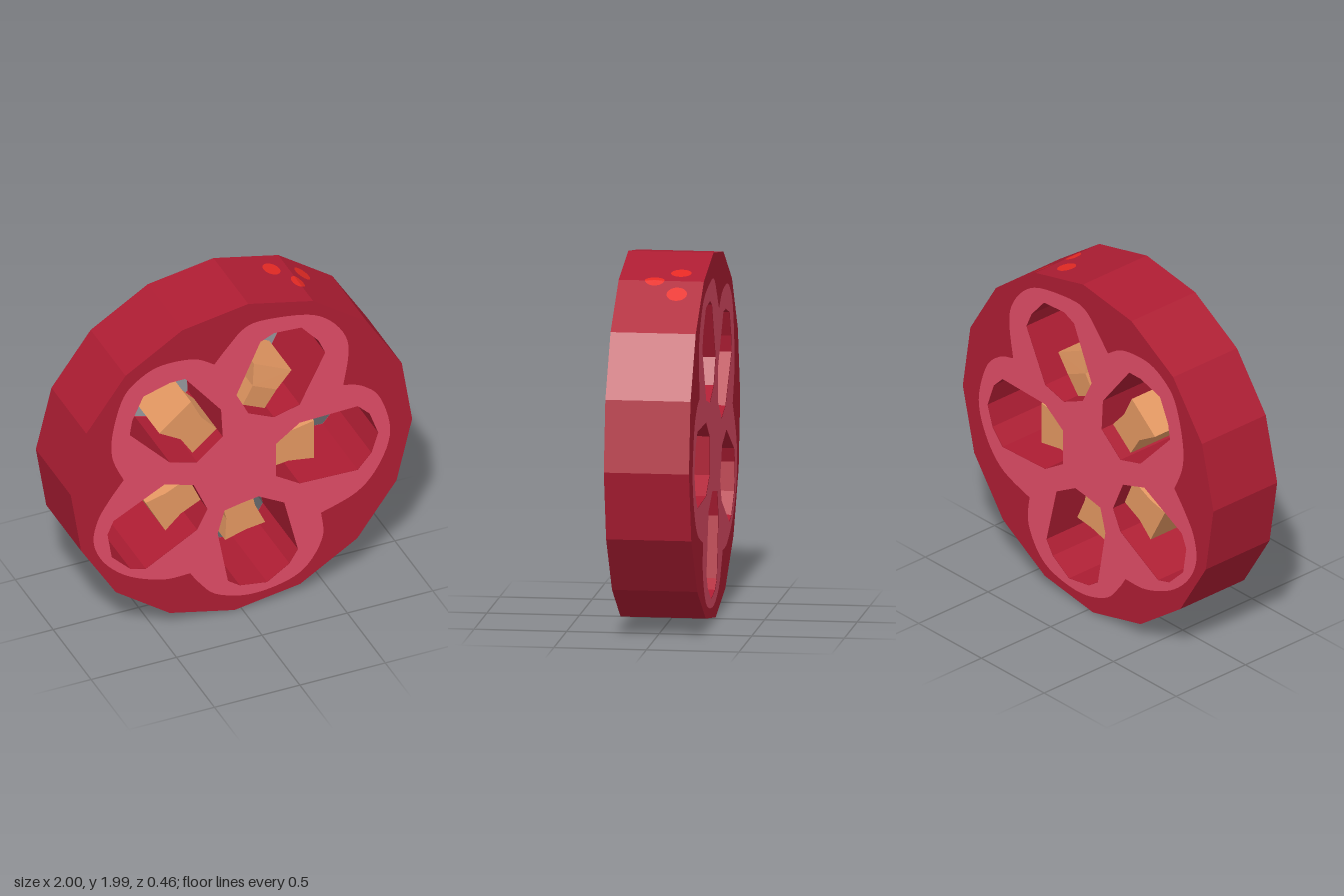
import * as THREE from 'three';

const HALF = 0.23; // half thickness of the slice

const toPoints = (flat) => {
  const out = [];
  for (let i = 0; i < flat.length; i += 2) out.push(new THREE.Vector2(flat[i], flat[i + 1]));
  return out;
};

// Seed chambers, as outlines in the front plane
const chambers = [
  [0.11, 1.73, 0.19, 1.765, 0.35, 1.755, 0.45, 1.64, 0.49, 1.55, 0.34, 1.25, 0.19, 1.21, 0.04, 1.28, -0.03, 1.42],
  [0.20, 1.03, 0.34, 1.13, 0.68, 1.14, 0.75, 1.07, 0.80, 0.93, 0.76, 0.81, 0.68, 0.72, 0.34, 0.73, 0.20, 0.82],
  [-0.10, 0.68, 0, 0.70, 0.10, 0.715, 0.25, 0.63, 0.33, 0.30, 0.28, 0.22, 0.15, 0.135, -0.01, 0.16, -0.08, 0.21, -0.14, 0.54],
  [-0.45, 0.955, -0.28, 0.90, -0.20, 0.72, -0.26, 0.60, -0.56, 0.43, -0.65, 0.455, -0.76, 0.565, -0.785, 0.72, -0.75, 0.80],
  [-0.42, 1.615, -0.33, 1.615, -0.12, 1.35, -0.11, 1.17, -0.26, 1.045, -0.42, 1.09, -0.655, 1.34, -0.64, 1.43, -0.575, 1.57],
].map(toPoints);

// Seeds: flared outer end, narrow waist, inner end
const seeds = [
  [0.11, 1.53, 0.33, 1.425, 0.235, 1.335, 0.17, 1.21, 0.04, 1.26, 0.095, 1.40],
  [0.46, 1.055, 0.46, 0.81, 0.31, 0.835, 0.19, 0.82, 0.19, 1.03, 0.31, 1.025],
  [-0.06, 0.42, 0.06, 0.455, 0.175, 0.47, 0.115, 0.60, 0.09, 0.715, -0.085, 0.68, -0.053, 0.56],
  [-0.41, 0.585, -0.525, 0.80, -0.405, 0.83, -0.28, 0.89, -0.19, 0.735, -0.32, 0.67],
  [-0.445, 1.235, -0.26, 1.39, -0.20, 1.27, -0.11, 1.17, -0.25, 1.05, -0.32, 1.16],
].map(toPoints);

// Pale flesh: one smooth lobe after another, meeting at sharp notches
const lobes = [
  [-0.16, 1.66, -0.07, 1.765, 0.02, 1.85, 0.14, 1.868, 0.385, 1.83, 0.52, 1.75, 0.61, 1.62, 0.625, 1.49, 0.595, 1.305],
  [0.595, 1.305, 0.705, 1.267, 0.81, 1.16, 0.87, 0.93, 0.81, 0.73, 0.68, 0.58, 0.465, 0.50],
  [0.465, 0.50, 0.475, 0.34, 0.385, 0.18, 0.25, 0.107, 0.04, 0.086, -0.15, 0.145, -0.25, 0.25, -0.30, 0.325],
  [-0.30, 0.325, -0.46, 0.33, -0.66, 0.41, -0.80, 0.535, -0.865, 0.68, -0.845, 0.82, -0.78, 0.935, -0.69, 1.053],
  [-0.69, 1.053, -0.755, 1.21, -0.755, 1.375, -0.695, 1.59, -0.60, 1.69, -0.47, 1.743, -0.28, 1.73, -0.16, 1.66],
].map(toPoints);

// Corner of the sixteen-sided rim, clockwise from the top
const rimPoint = (i) => {
  const a = Math.PI / 2 - 0.04 - (i * Math.PI) / 8;
  return new THREE.Vector2(Math.cos(a), 1.0025 + Math.sin(a) * 0.998);
};

// Height of the upper rim at a given x
function rimHeight(x) {
  for (let i = -3; i < 4; i++) {
    const a = rimPoint(i), b = rimPoint(i + 1);
    if (x >= a.x && x <= b.x) return a.y + ((b.y - a.y) * (x - a.x)) / (b.x - a.x);
  }
  return 1;
}

function withChambers(points) {
  const shape = new THREE.Shape(points);
  shape.holes = chambers.map((c) => new THREE.Path(c));
  return shape;
}

export function createModel() {
  const group = new THREE.Group();
  const material = (name, color, extra = {}) => {
    const m = new THREE.MeshStandardMaterial({ color, flatShading: true, ...extra });
    m.name = name;
    return m;
  };
  const skin = material('dark red skin', 0xae1d33);
  const flesh = material('pink flesh', 0xe04c66, { side: THREE.DoubleSide });
  const seedTan = material('tan seed', 0xe49862);
  const spotRed = material('bright red spot', 0xe62a24, { side: THREE.DoubleSide });

  const add = (name, geometry, mat) => {
    const mesh = new THREE.Mesh(geometry, mat);
    mesh.name = name;
    group.add(mesh);
    return mesh;
  };

  // Slice body with the chambers cut right through; counter-clockwise so the walls face inwards
  const rim = Array.from({ length: 16 }, (_, i) => rimPoint(-i));
  const body = new THREE.ExtrudeGeometry(withChambers(rim), { depth: 2 * HALF, bevelEnabled: false });
  add('sliceBody', body.translate(0, 0, -HALF), skin);

  // Pale flesh on both cut faces
  const outline = lobes.flatMap((points) => new THREE.SplineCurve(points).getPoints(32).slice(0, -1));
  const fleshShape = withChambers(outline);
  add('frontFlesh', new THREE.ShapeGeometry(fleshShape), flesh).position.z = HALF + 0.002;
  add('backFlesh', new THREE.ShapeGeometry(fleshShape), flesh).position.z = -HALF - 0.002;

  // Seeds; the top one bulges at its waist
  seeds.forEach((points, i) => {
    const g = new THREE.ExtrudeGeometry(new THREE.Shape(points), { depth: 0.3, bevelEnabled: false });
    g.translate(0, 0, -0.15);
    if (i === 0) {
      const p = g.attributes.position;
      for (let k = 0; k < p.count; k++) {
        const r = Math.hypot(p.getX(k), p.getY(k) - 1);
        p.setZ(k, p.getZ(k) * (1.1 - Math.abs(r - 0.42)));
      }
      g.computeVertexNormals();
    }
    add(`seed${i + 1}`, g, seedTan);
  });

  // Bright spots laid over the rim: x, z, half width, half depth
  const spots = [
    [0.32, -0.095, 0.047, 0.055],
    [0.50, -0.095, 0.04, 0.055],
    [0.417, 0.035, 0.034, 0.053],
  ];
  spots.forEach(([x, z, rx, rz], i) => {
    const g = new THREE.CircleGeometry(1, 24).rotateX(-Math.PI / 2).scale(rx, 1, rz).translate(x, 0, z);
    const p = g.attributes.position;
    for (let k = 0; k < p.count; k++) p.setY(k, rimHeight(p.getX(k)) + 0.002);
    g.computeVertexNormals();
    add(`spot${i + 1}`, g, spotRed);
  });

  return group;
}
